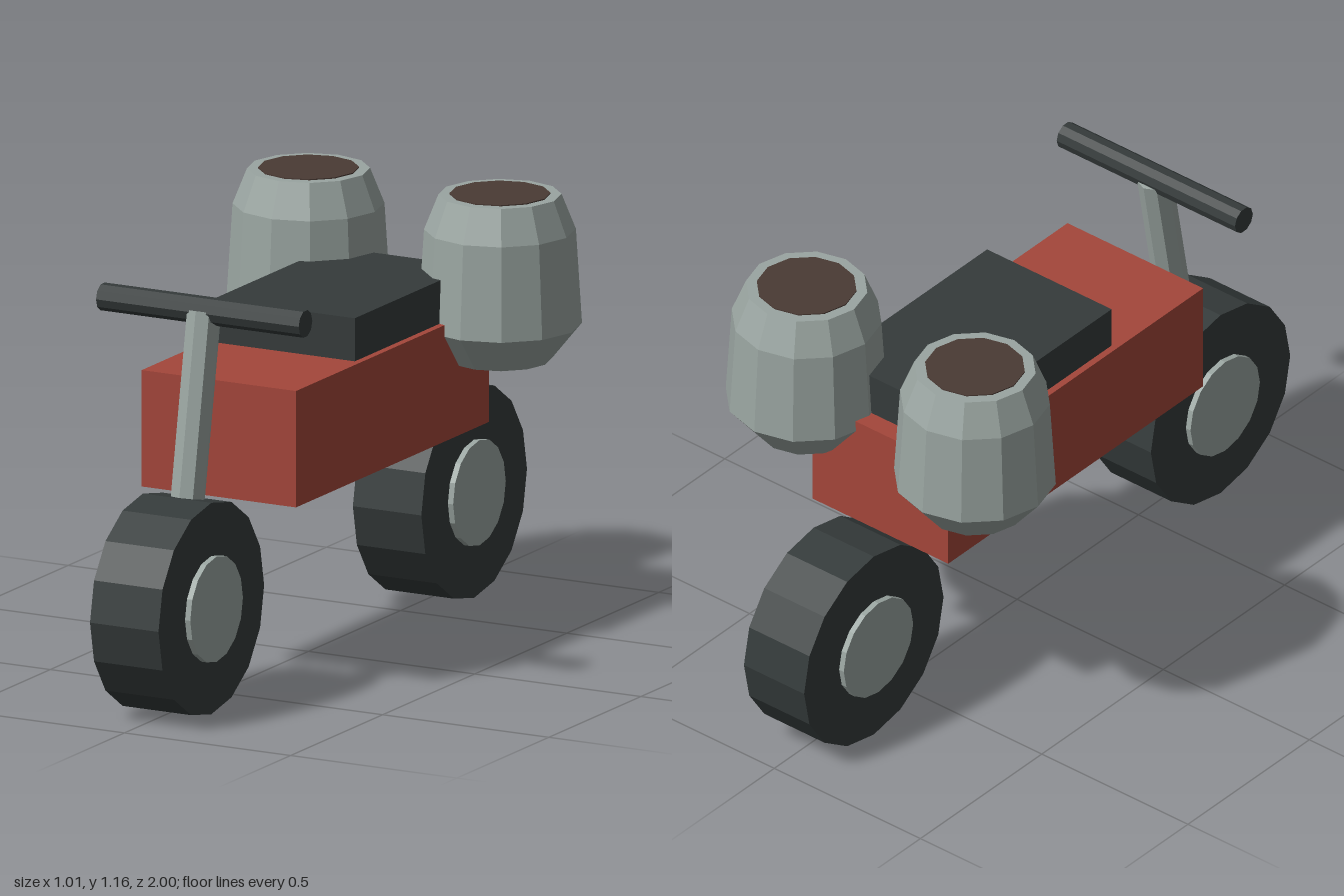
import * as THREE from 'three';

const paint = (name, color) => {
  const m = new THREE.MeshStandardMaterial({ color });
  m.name = name;
  return m;
};

// Give every face its own normal for a faceted look
function faceted(geometry) {
  const g = geometry.toNonIndexed();
  g.computeVertexNormals();
  return g;
}

export function createModel() {
  const model = new THREE.Group();
  model.name = 'threeWheelStyleBike';
  model.name = 'motorbike';

  const red = paint('body red', 0xa4463a);
  const dark = paint('rubber dark', 0x353b3b);
  const metal = paint('metal grey', 0x9aa5a1);
  const brown = paint('barrel brown', 0x4a3a34);

  const add = (parent, name, geometry, material, x = 0, y = 0, z = 0) => {
    const mesh = new THREE.Mesh(geometry, material);
    mesh.name = name;
    mesh.position.set(x, y, z);
    parent.add(mesh);
    return mesh;
  };
  const rod = (r, length, sides) => faceted(new THREE.CylinderGeometry(r, r, length, sides));
  const axle = (r, length, sides) => rod(r, length, sides).rotateZ(Math.PI / 2);

  // Body and seat
  add(model, 'body', new THREE.BoxGeometry(0.464, 0.316, 1.05), red, 0, 0.685, -0.038);
  add(model, 'seat', new THREE.BoxGeometry(0.426, 0.13, 0.64), dark, 0, 0.895, -0.187);

  // Wheels with hubs showing on both sides
  for (const [name, z] of [['frontWheel', 0.714], ['rearWheel', -0.714]]) {
    const wheel = new THREE.Group();
    wheel.name = name;
    wheel.position.set(0, 0.287, z);
    add(wheel, 'tyre', axle(0.287, 0.206, 16), dark);
    add(wheel, 'hub', axle(0.143, 0.238, 16), metal);
    model.add(wheel);
  }

  // Leaning steering column and handlebar
  const low = new THREE.Vector3(0, 0.5, 0.667);
  const high = new THREE.Vector3(0, 1.05, 0.567);
  const column = add(model, 'steeringColumn', rod(0.047, low.distanceTo(high), 8), metal);
  column.position.copy(low).add(high).multiplyScalar(0.5);
  column.rotation.x = Math.atan2(high.z - low.z, high.y - low.y);
  add(model, 'handlebar', axle(0.037, 0.61, 10), dark, 0, 1.052, 0.567);

  // Pair of barrels beside the seat
  const profile = [[0, 0.715], [0.136, 0.715], [0.216, 0.812], [0.2, 1.067], [0.162, 1.162], [0, 1.162]]
    .map(([r, y]) => new THREE.Vector2(r, y));
  for (const side of [1, -1]) {
    const barrel = new THREE.Group();
    barrel.name = side > 0 ? 'leftBarrel' : 'rightBarrel';
    barrel.position.set(side * 0.288, 0, -0.52);
    add(barrel, 'shell', faceted(new THREE.LatheGeometry(profile, 12)), metal);
    add(barrel, 'filling', rod(0.133, 0.006, 12), brown, 0, 1.162, 0);
    model.add(barrel);
  }

  return model;
}
